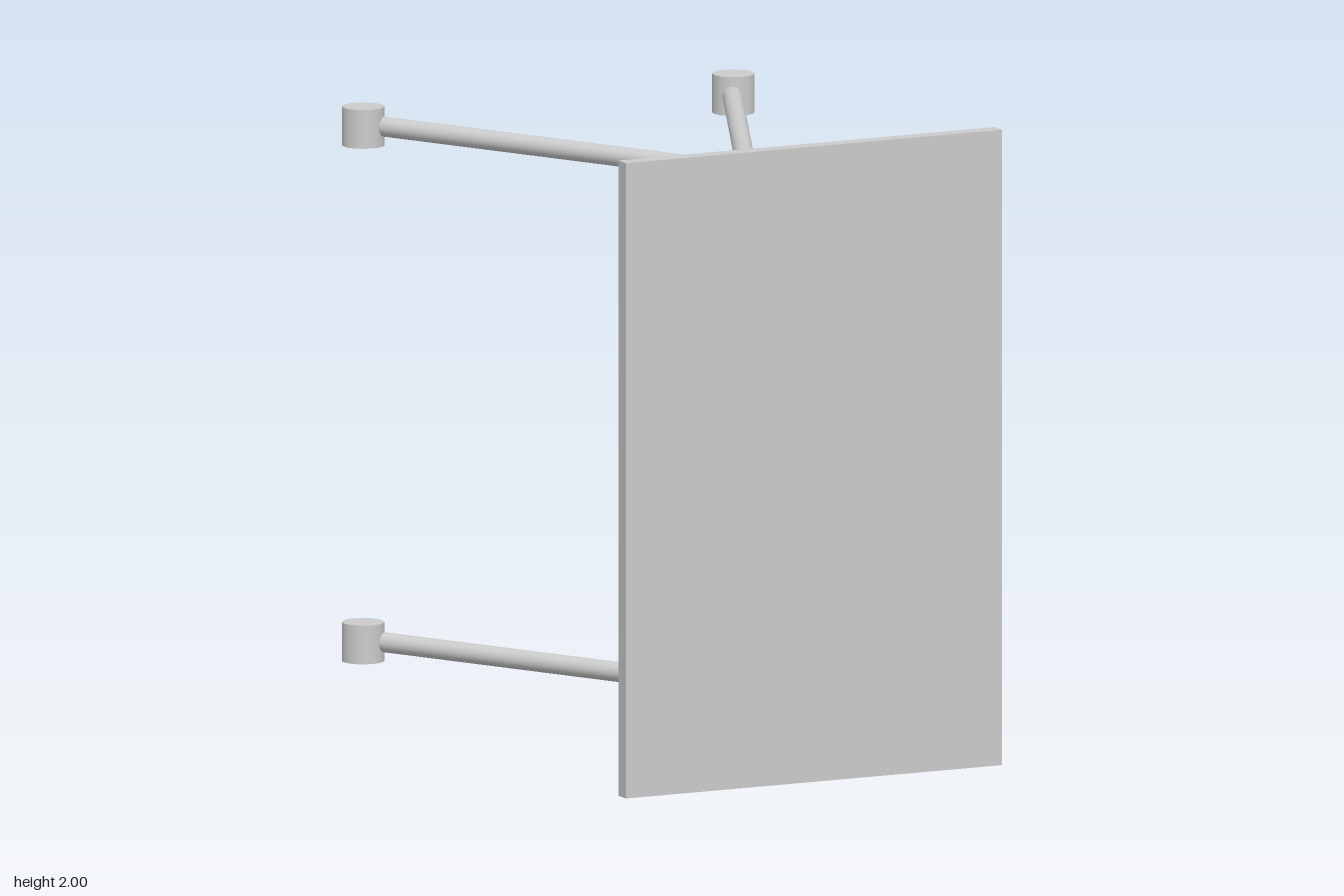
import * as THREE from 'three';

const material = new THREE.MeshStandardMaterial({ color: 0xcccccc });

// Box given by its limits on each axis
function box(name, [x0, x1], [y0, y1], [z0, z1]) {
  const mesh = new THREE.Mesh(new THREE.BoxGeometry(x1 - x0, y1 - y0, z1 - z0), material);
  mesh.name = name;
  mesh.position.set((x0 + x1) / 2, (y0 + y1) / 2, (z0 + z1) / 2);
  return mesh;
}

// Horizontal round tube between two [x, z] points at height 0
function tube(name, [x0, z0], [x1, z1], radius = 0.031) {
  const a = new THREE.Vector3(x0, 0, z0);
  const b = new THREE.Vector3(x1, 0, z1);
  const mesh = new THREE.Mesh(new THREE.CylinderGeometry(radius, radius, a.distanceTo(b), 24), material);
  mesh.name = name;
  mesh.position.copy(a).lerp(b, 0.5);
  mesh.quaternion.setFromUnitVectors(new THREE.Vector3(0, 1, 0), b.sub(a).normalize());
  return mesh;
}

// Upright hub at the far end of a tube
function hub(name, x, z) {
  const mesh = new THREE.Mesh(new THREE.CylinderGeometry(0.066, 0.066, 0.122, 24), material);
  mesh.name = name;
  mesh.position.set(x, 0, z);
  return mesh;
}

// One forked bracket: batten, straight arm, bent arm and two hubs
function bracket(name, y) {
  const group = new THREE.Group();
  group.name = name;
  const bend = [0.058, 0.315];
  group.add(
    box('batten', [-0.415, 0.475], [-0.039, 0.039], [0.73, 0.893]),
    tube('longArm', [-0.088, 0.745], [0.632, -0.88]),
    tube('bentArmRoot', [-0.122, 0.745], bend),
    tube('bentArm', bend, [-0.612, -0.88]),
    hub('leftHub', 0.637, -0.879),
    hub('rightHub', -0.637, -0.879)
  );
  group.position.y = y;
  return group;
}

export function createModel() {
  const model = new THREE.Group();
  model.name = 'bracketedPanel';

  // Flat panels
  model.add(
    box('frontPanel', [-0.62, 0.675], [0, 2], [0.893, 0.945]),
    box('sidePanel', [0.475, 0.5], [0.195, 1.81], [0.083, 0.893])
  );

  // Matching brackets near the bottom and the top
  model.add(bracket('lowerBracket', 0.192), bracket('upperBracket', 1.815));
  return model;
}
